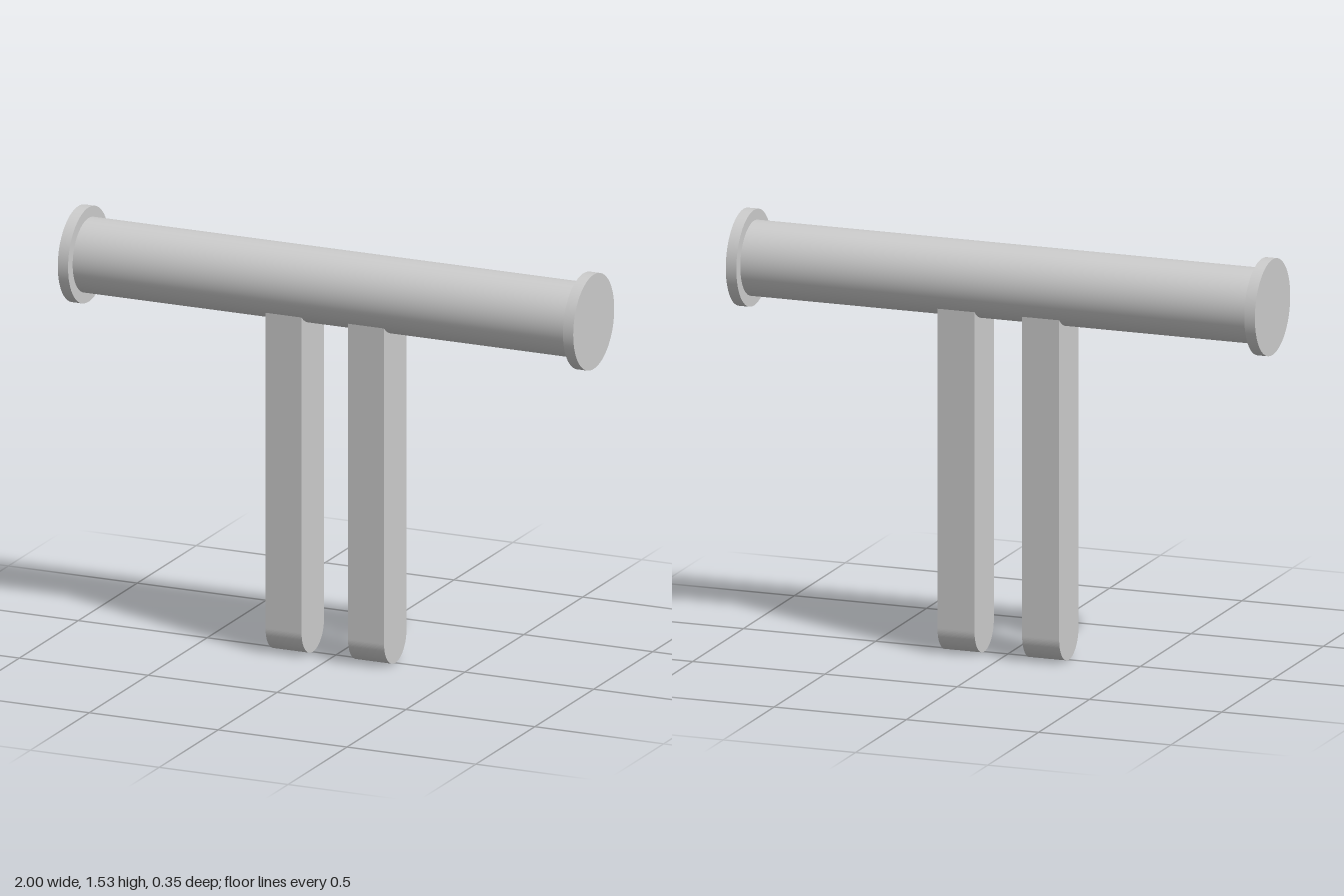
import * as THREE from 'three';

export function createModel() {
  const model = new THREE.Group();
  const grey = new THREE.MeshStandardMaterial({ color: 0xcccccc });
  grey.name = 'light grey';
  const axisY = 1.355;

  // cylinder lying along x
  const addRod = (name, radius, length, x) => {
    const geometry = new THREE.CylinderGeometry(radius, radius, length, 72);
    geometry.rotateZ(Math.PI / 2);
    const mesh = new THREE.Mesh(geometry, grey);
    mesh.name = name;
    mesh.position.set(x, axisY, 0);
    model.add(mesh);
  };

  addRod('crossbar', 0.135, 1.94, 0);

  // leg outline: rounded foot, top scooped to seat against the bar
  const half = 0.095;
  const barRadius = 0.135;
  const seat = Math.acos(half / barRadius);
  const outline = new THREE.Shape();
  outline.moveTo(-half, half);
  outline.absarc(0, half, half, Math.PI, Math.PI * 2, false);
  outline.absarc(0, axisY, barRadius, -seat, -Math.PI + seat, true);
  outline.closePath();
  const legWidth = 0.14;
  const legGeometry = new THREE.ExtrudeGeometry(outline, {
    depth: legWidth, bevelEnabled: false, curveSegments: 32,
  });
  legGeometry.translate(0, 0, -legWidth / 2);
  legGeometry.rotateY(Math.PI / 2);

  // mirrored end caps and legs
  for (const [side, s] of [['left', 1], ['right', -1]]) {
    addRod(side + 'EndCap', 0.174, 0.04, s * 0.98);
    const leg = new THREE.Mesh(legGeometry, grey);
    leg.name = side + 'Leg';
    leg.position.x = s * 0.16;
    model.add(leg);
  }

  return model;
}
